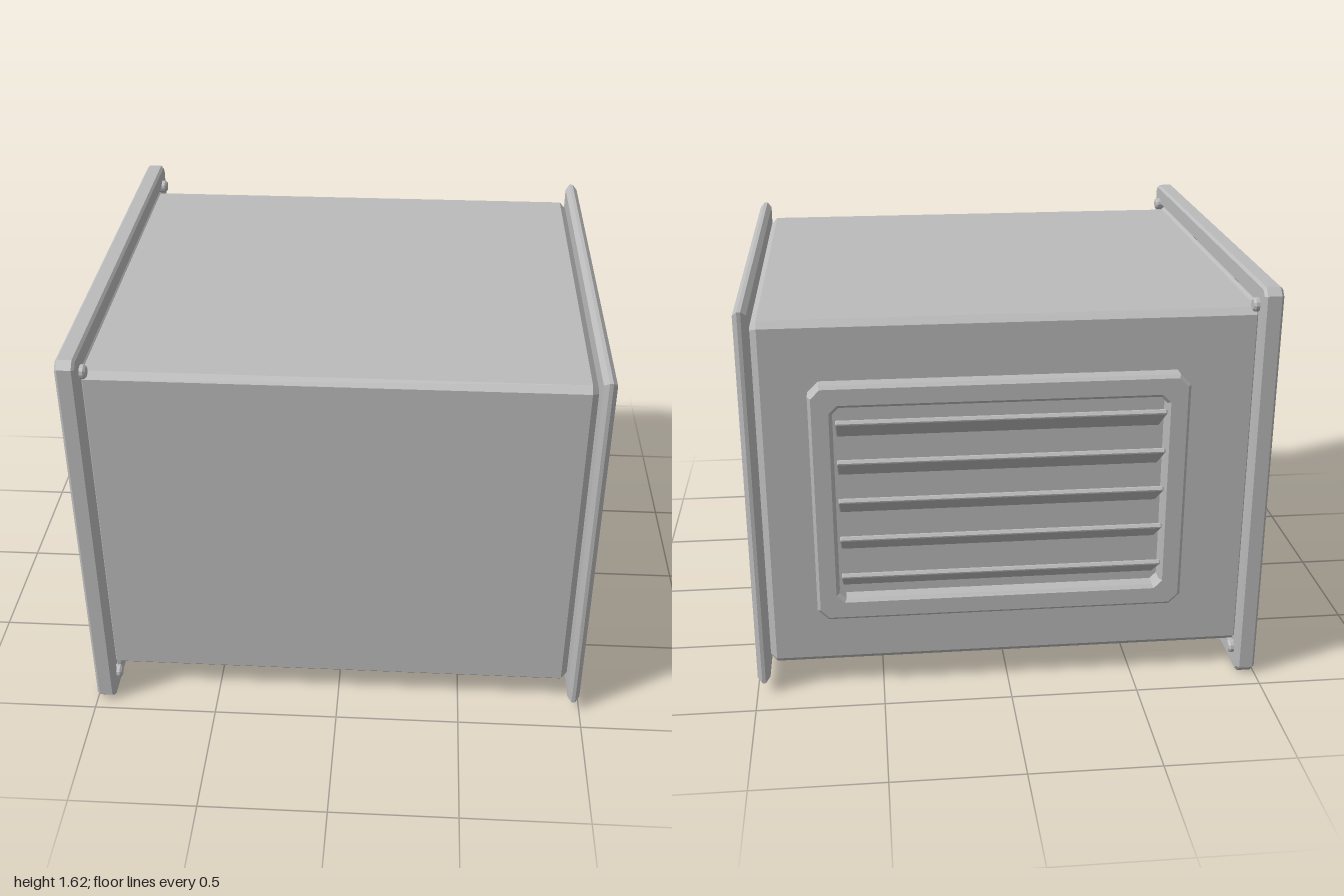
import * as THREE from 'three';

const steel = new THREE.MeshStandardMaterial({ color: 0xbbbbbb, flatShading: true });
steel.name = 'grey steel';

// Rectangle with cut corners, centred on the origin
function outline(w, h, cut, Type = THREE.Shape) {
  const x = w / 2, y = h / 2;
  const corners = cut > 0
    ? [[x - cut, -y], [x, -y + cut], [x, y - cut], [x - cut, y], [-x + cut, y], [-x, y - cut], [-x, -y + cut], [-x + cut, -y]]
    : [[-x, -y], [x, -y], [x, y], [-x, y]];
  return new Type(corners.map(([a, b]) => new THREE.Vector2(a, b)));
}

// Plate with chamfered rims, centred on the origin, thickness along z
function plate(w, h, thick, cut, bevel, hole) {
  const shape = outline(w, h, cut);
  if (hole) shape.holes.push(outline(hole[0], hole[1], hole[2], THREE.Path));
  const geo = new THREE.ExtrudeGeometry(shape, {
    depth: thick - 2 * bevel, bevelEnabled: true, bevelSegments: 1,
    bevelSize: bevel, bevelThickness: bevel, bevelOffset: -bevel,
  });
  return geo.translate(0, 0, bevel - thick / 2);
}

export function createModel() {
  const group = new THREE.Group();
  const add = (name, geo, x, y, z) => {
    const mesh = new THREE.Mesh(geo, steel);
    mesh.name = name;
    mesh.position.set(x, y, z);
    group.add(mesh);
    return mesh;
  };
  const sideways = (geo) => geo.rotateY(Math.PI / 2);

  // Main box with chamfered edges
  add('housing', sideways(plate(1.68, 1.42, 1.90, 0.025, 0.025)), -0.005, 0.813, 0.01);

  // Plain cover plate on the left side
  add('coverPlate', sideways(plate(1.79, 1.53, 0.05, 0, 0.018)), 0.973, 0.815, 0.013);

  // Mounting flange with a recessed panel on the right side
  add('flange', sideways(plate(1.875, 1.62, 0.073, 0.028, 0.01, [1.71, 1.455, 0.015])), -0.963, 0.813, 0.015);
  add('recessedPanel', sideways(plate(1.69, 1.435, 0.045, 0.012, 0.01)), -0.955, 0.813, 0.015);

  // Bolt heads on the inner face of the flange
  for (const y of [0.088, 1.543]) {
    for (const z of [-0.842, 0.868]) {
      const head = new THREE.LatheGeometry(
        [[0.027, -0.02], [0.027, 0.012], [0.02, 0.02], [0, 0.02]].map(([r, h]) => new THREE.Vector2(r, h)), 12);
      add('bolt', head.rotateZ(-Math.PI / 2), -0.925, y, z);
    }
  }

  // Vent frame on the back
  const ventX = 0.035, ventY = 0.815;
  add('ventFrame', plate(1.425, 0.965, 0.075, 0.042, 0.012, [1.25, 0.79, 0.025]), ventX, ventY, -0.87);

  // Slanted louvre slats, outer edge raised
  for (let i = 0; i < 5; i++) {
    const slat = add('louvre', plate(1.225, 0.02, 0.16, 0.004, 0.004), ventX, 0.503 + i * 0.156, -0.892);
    slat.rotation.x = 0.64;
  }

  return group;
}
